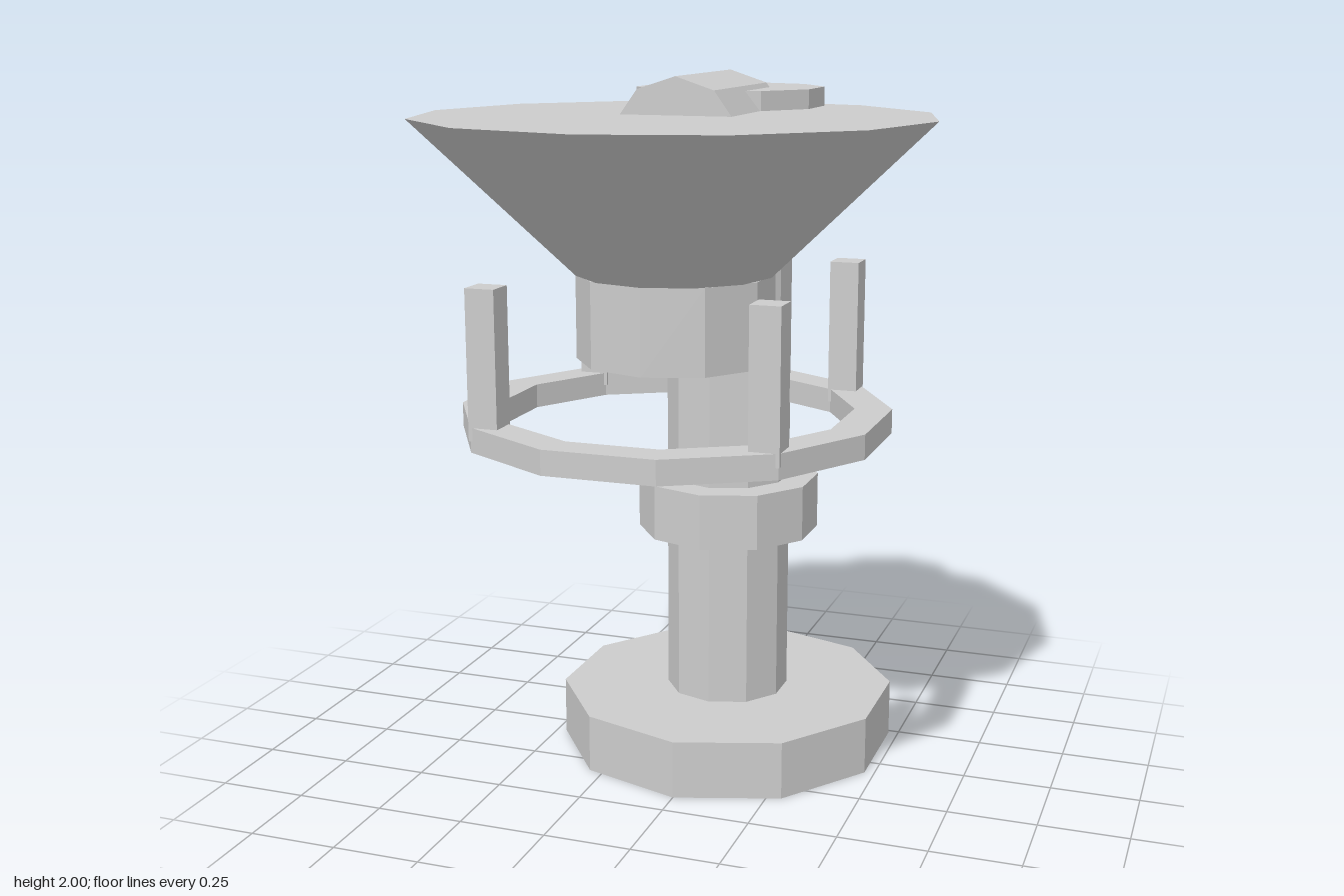
import * as THREE from 'three';

export function createModel() {
  const model = new THREE.Group();
  model.name = 'lampPost';
  const grey = new THREE.MeshStandardMaterial({ color: 0xcccccc, flatShading: true });
  grey.name = 'plain grey';

  const POLE_Z = -0.33, LAMP_Z = 0.133;

  function add(name, geometry, x, y, z) {
    const mesh = new THREE.Mesh(geometry, grey);
    mesh.name = name;
    mesh.position.set(x, y, z);
    model.add(mesh);
    return mesh;
  }
  // Upright faceted drum between two heights
  function drum(name, z, y0, y1, rBottom, rTop = rBottom, sides = 10) {
    return add(name, new THREE.CylinderGeometry(rTop, rBottom, y1 - y0, sides), 0, (y0 + y1) / 2, z);
  }

  // Post
  drum('base', POLE_Z, 0, 0.168, 0.496);
  drum('pole', POLE_Z, 0.168, 1.69, 0.18);
  drum('collar', POLE_Z, 0.665, 0.826, 0.265);
  drum('poleCap', POLE_Z, 1.69, 1.953, 0.265);

  // Horizontal arm from the pole cap to the shade
  const arm = add('arm', new THREE.CylinderGeometry(0.18, 0.18, LAMP_Z - POLE_Z, 10), 0, 1.82, (POLE_Z + LAMP_Z) / 2);
  arm.rotation.x = Math.PI / 2;

  // Shade and the drum under it
  drum('shade', LAMP_Z, 1.49, 1.9, 0.265, 0.692, 12);
  drum('lamp', LAMP_Z, 1.26, 1.49, 0.265);

  // Flat twelve-sided ring, flat sides facing the axes
  const polygon = (r) => Array.from({ length: 12 }, (_, i) => {
    const a = (i + 0.5) * Math.PI / 6;
    return new THREE.Vector2(r * Math.cos(a), r * Math.sin(a));
  });
  const ringShape = new THREE.Shape(polygon(0.58));
  ringShape.holes.push(new THREE.Path(polygon(0.48)));
  const ringGeometry = new THREE.ExtrudeGeometry(ringShape, { depth: 0.066, bevelEnabled: false });
  ringGeometry.rotateX(-Math.PI / 2);
  add('ring', ringGeometry, 0, 1.064, LAMP_Z);

  // Four square uprights on the ring
  for (const sx of [-1, 1]) for (const sz of [-1, 1]) {
    add('upright', new THREE.BoxGeometry(0.08, 0.395, 0.08), sx * 0.374, 1.2925, LAMP_Z + sz * 0.374);
  }
  return model;
}
